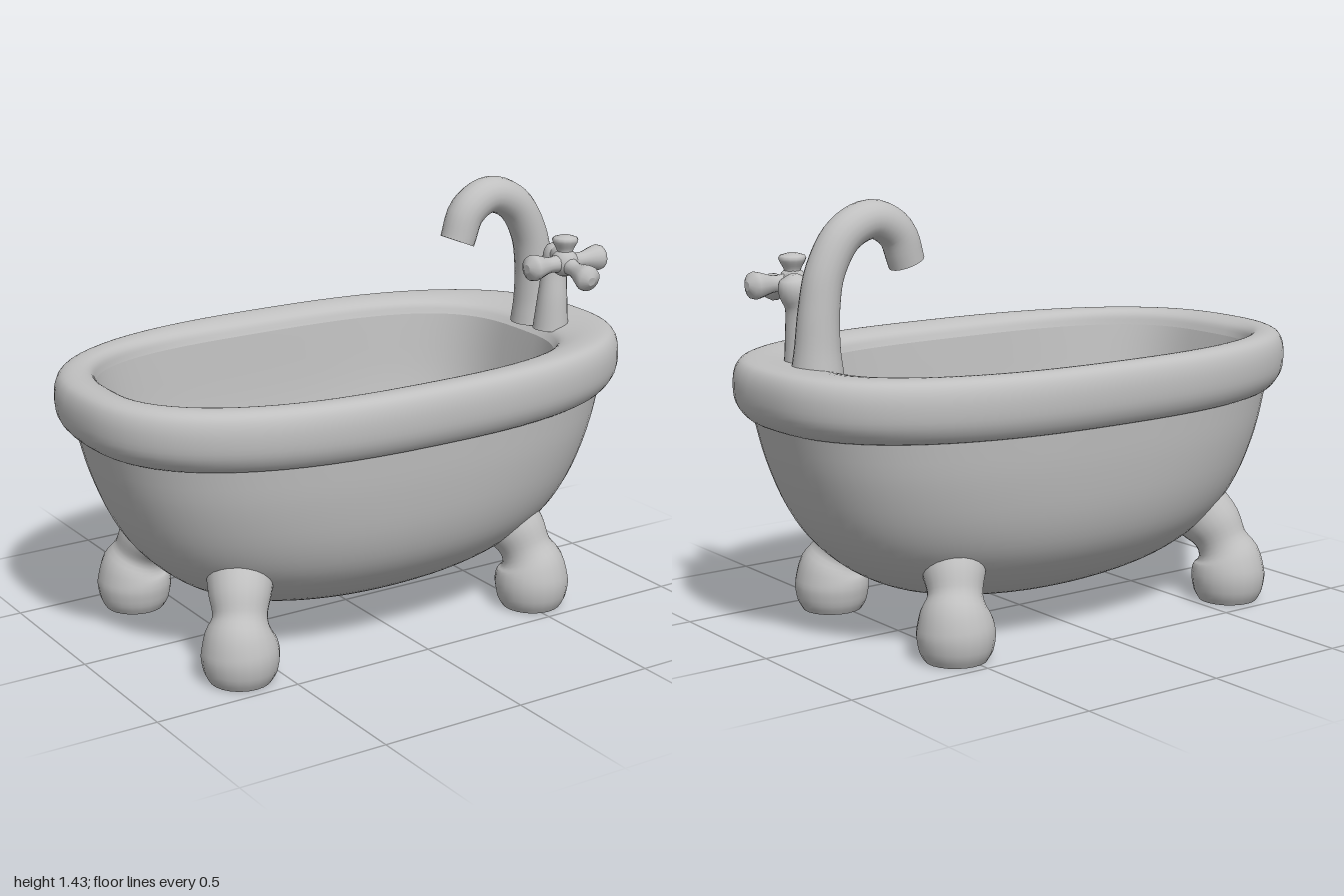
import * as THREE from 'three';

const enamel = new THREE.MeshStandardMaterial({ color: 0xc0c0c0 });
enamel.name = 'greyEnamel';

// Skin a list of closed rings (arrays of Vector3 of equal length), outward facing.
function skin(rings, name) {
  const n = rings[0].length, pos = [], idx = [];
  rings.forEach(r => r.forEach(p => pos.push(p.x, p.y, p.z)));
  for (let i = 0; i < rings.length - 1; i++) {
    for (let j = 0; j < n; j++) {
      const k = (j + 1) % n;
      const a = i * n + j, b = a + n, c = i * n + k, d = c + n;
      idx.push(a, b, c, c, b, d);
    }
  }
  const geo = new THREE.BufferGeometry();
  geo.setAttribute('position', new THREE.Float32BufferAttribute(pos, 3));
  geo.setIndex(idx);
  geo.computeVertexNormals();
  const mesh = new THREE.Mesh(geo, enamel);
  mesh.name = name;
  return mesh;
}

// Horizontal rounded-oval ring: height, x offset, half length, half width, squareness.
function oval([y, cx, a, b, e = 2.5], n = 72) {
  const bend = v => Math.sign(v) * Math.pow(Math.abs(v), 2 / e);
  return Array.from({ length: n }, (_, j) => {
    const t = (j / n) * Math.PI * 2;
    return new THREE.Vector3(cx + a * bend(Math.cos(t)), y, b * bend(Math.sin(t)));
  });
}

// Smooth spline through [y, cx, a, b, e] profile rows.
function loft(rows, name, steps) {
  const low = new THREE.CatmullRomCurve3(rows.map(r => new THREE.Vector3(r[0], r[1], r[4] ?? 2.5)), false, 'catmullrom');
  const size = new THREE.CatmullRomCurve3(rows.map(r => new THREE.Vector3(r[2], r[3], 0)), false, 'catmullrom');
  const rings = [];
  for (let i = 0; i <= steps; i++) {
    const p = low.getPoint(i / steps), s = size.getPoint(i / steps);
    rings.push(oval([p.x, p.y, Math.max(s.x, 0), Math.max(s.y, 0), p.z]));
  }
  return skin(rings, name);
}

// Capped round sweep through [x, y, z, radius] points.
function sweep(pts, name, steps = 20, n = 20) {
  const path = new THREE.CatmullRomCurve3(pts.map(p => new THREE.Vector3(p[0], p[1], p[2])));
  const radii = new THREE.CatmullRomCurve3(pts.map(p => new THREE.Vector3(p[3], 0, 0)), false, 'catmullrom');
  const { normals, binormals } = path.computeFrenetFrames(steps, false);
  const rings = [];
  for (let i = 0; i <= steps; i++) {
    const t = path.getUtoTmapping(i / steps);
    const c = path.getPoint(t), r = radii.getPoint(t).x;
    const ring = Array.from({ length: n }, (_, j) => {
      const a = (j / n) * Math.PI * 2;
      return c.clone().addScaledVector(normals[i], r * Math.cos(a)).addScaledVector(binormals[i], -r * Math.sin(a));
    });
    const centre = ring.map(() => c);
    if (i === 0) rings.push(centre, ring);
    rings.push(ring);
    if (i === steps) rings.push(ring, centre);
  }
  return skin(rings, name);
}

export function createModel() {
  const model = new THREE.Group();
  model.name = 'bathtub';

  // Outer shell
  model.add(loft([
    [0.09, 0, 0, 0, 2], [0.1, 0, 0.25, 0.14, 2], [0.135, 0, 0.46, 0.25, 2.1], [0.2, 0, 0.62, 0.36, 2.2],
    [0.3, 0, 0.745, 0.455, 2.3], [0.42, 0, 0.83, 0.508, 2.4], [0.58, 0, 0.895, 0.538], [0.74, 0, 0.94, 0.553],
  ], 'outerShell', 28));

  // Rolled rim
  model.add(loft([
    [0.715, 0, 0.91, 0.53], [0.73, 0, 0.955, 0.568], [0.78, 0, 0.993, 0.595], [0.85, 0, 1, 0.6],
    [0.9, 0, 0.985, 0.587], [0.92, 0, 0.95, 0.558], [0.918, -0.02, 0.89, 0.51],
    [0.9, -0.05, 0.82, 0.468, 2.8], [0.865, -0.06, 0.79, 0.45, 3],
  ], 'rim', 32));

  // Basin
  model.add(loft([
    [0.865, -0.06, 0.79, 0.45, 3], [0.6, -0.05, 0.74, 0.425, 2.9], [0.4, -0.02, 0.66, 0.38, 2.6],
    [0.26, 0, 0.54, 0.3, 2.3], [0.2, 0, 0.38, 0.2, 2], [0.18, 0, 0.18, 0.1, 2], [0.175, 0, 0, 0, 2],
  ], 'basin', 28));

  // Four bulbous feet
  for (const [end, cx] of [['Left', 0.525], ['Right', -0.63]]) {
    for (const [side, s] of [['front', 1], ['back', -1]]) {
      const inX = -Math.sign(cx);
      model.add(sweep([
        [cx, 0, s * 0.365, 0.1], [cx, 0.03, s * 0.365, 0.117], [cx, 0.09, s * 0.365, 0.126],
        [cx, 0.15, s * 0.36, 0.112], [cx + inX * 0.012, 0.2, s * 0.345, 0.088],
        [cx + inX * 0.03, 0.26, s * 0.315, 0.1], [cx + inX * 0.07, 0.33, s * 0.25, 0.115],
      ], side + end + 'Foot', 24, 22));
    }
  }

  // Spout
  const faucet = new THREE.Group();
  faucet.name = 'faucet';
  faucet.add(sweep([
    [0.795, 0.89, -0.005, 0.084], [0.793, 0.97, -0.005, 0.073], [0.785, 1.09, -0.005, 0.066],
    [0.76, 1.21, -0.005, 0.063], [0.69, 1.32, -0.005, 0.063], [0.585, 1.362, -0.005, 0.063],
    [0.495, 1.315, -0.005, 0.063], [0.455, 1.215, -0.005, 0.06],
  ], 'spout', 36));

  // Valve post
  faucet.add(sweep([
    [0.77, 0.89, 0.12, 0.062], [0.775, 1.0, 0.12, 0.052], [0.785, 1.09, 0.115, 0.045],
    [0.8, 1.14, 0.113, 0.053], [0.805, 1.175, 0.112, 0.045], [0.807, 1.192, 0.112, 0.015],
  ], 'valvePost'));

  // Cross handle: hub, stem and knobbed spokes
  const hub = [0.74, 1.15, 0.225];
  const handle = new THREE.Group();
  handle.name = 'handle';
  const ball = new THREE.Mesh(new THREE.SphereGeometry(0.048, 16, 12), enamel);
  ball.name = 'hub';
  ball.position.set(...hub);
  handle.add(ball);
  handle.add(sweep([[...hub, 0.04], [0.775, 1.155, 0.16, 0.034], [0.805, 1.15, 0.1, 0.04]], 'stem', 8, 14));
  const tips = [[0.575, 1.148, 0.23], [0.908, 1.15, 0.225], [0.735, 1.115, 0.38], [0.742, 1.245, 0.222]];
  for (const tip of tips) {
    const at = (f, r) => [...hub.map((h, i) => h + (tip[i] - h) * f), r];
    handle.add(sweep([at(0, 0.036), at(0.4, 0.027), at(0.7, 0.04), at(0.85, 0.045), at(0.96, 0.035), at(1, 0.015)], 'spoke', 12, 14));
  }
  faucet.add(handle);
  model.add(faucet);
  return model;
}
